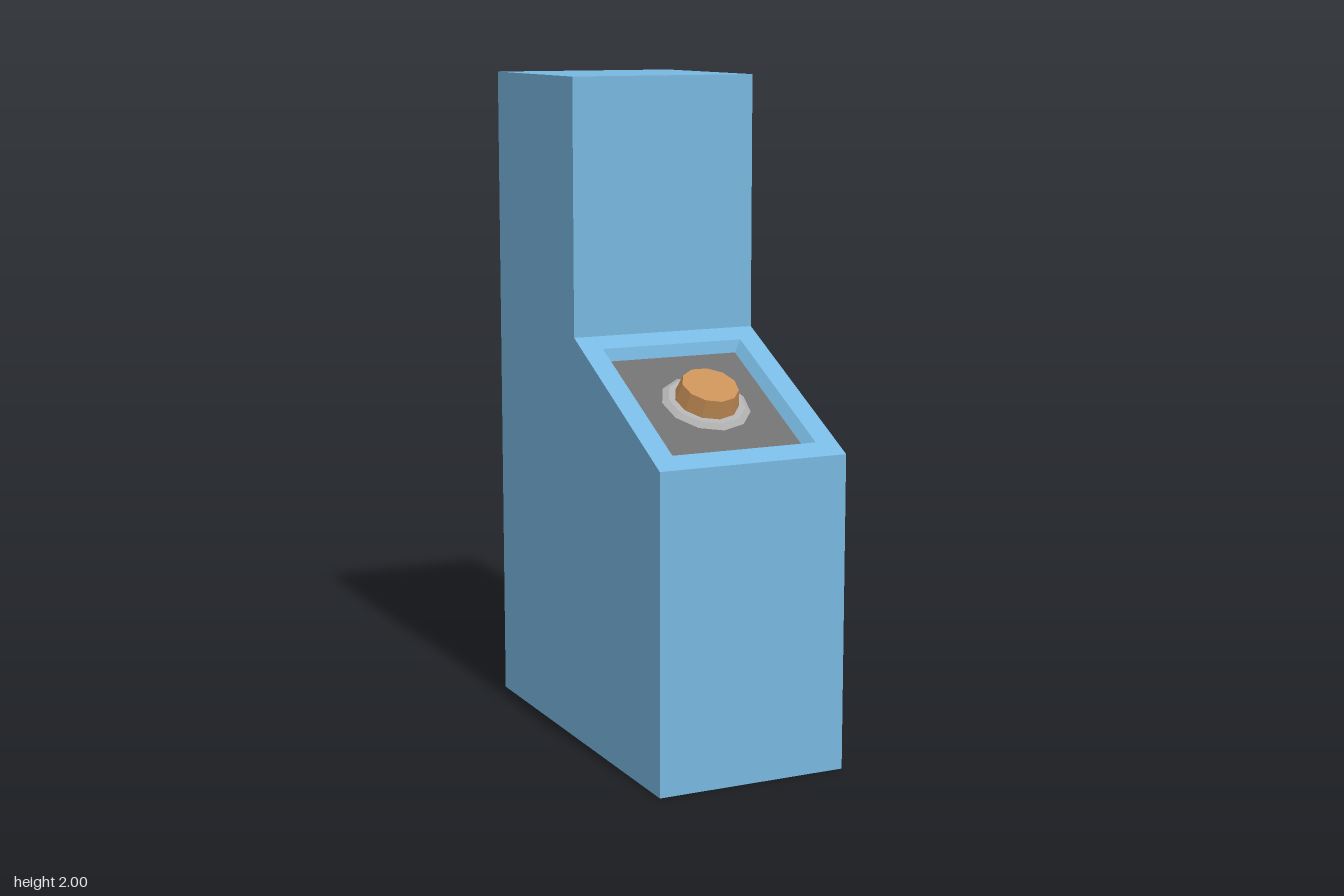
import * as THREE from 'three';

const W = 0.295; // half width of the cabinet
const paint = new THREE.MeshStandardMaterial({ color: 0x78b8e0, side: THREE.DoubleSide, flatShading: true });
const darkGrey = new THREE.MeshStandardMaterial({ color: 0x707070, side: THREE.DoubleSide, flatShading: true });
const lightGrey = new THREE.MeshStandardMaterial({ color: 0xb0b0b0, flatShading: true });
const orange = new THREE.MeshStandardMaterial({ color: 0xc89058, flatShading: true });

function add(parent, name, geometry, material) {
  const mesh = new THREE.Mesh(geometry, material);
  mesh.name = name;
  parent.add(mesh);
  return mesh;
}

// Flat four-cornered sheet, corners counter-clockwise from its front
function quad(a, b, c, d) {
  const g = new THREE.BufferGeometry();
  g.setAttribute('position', new THREE.Float32BufferAttribute([a, b, c, a, c, d].flat(), 3));
  g.computeVertexNormals();
  return g;
}

const rect = (x, z) => [[-x, -z], [-x, z], [x, z], [x, -z]];
const toPoints = (list) => list.map(([x, y]) => new THREE.Vector2(x, y));

export function createModel() {
  const model = new THREE.Group();
  model.name = 'cabinet';

  // Side outline as [z, y], from the bottom front up and over to the bottom back
  const outline = [[0.59, 0], [0.59, 0.94], [0, 1.235], [0, 2], [-0.59, 2], [-0.59, 0]];

  // Side walls
  for (const [name, side] of [['leftWall', 1], ['rightWall', -1]]) {
    const g = new THREE.ShapeGeometry(new THREE.Shape(toPoints(outline)));
    g.rotateY(-Math.PI / 2).translate(side * W, 0, 0);
    add(model, name, g, paint);
  }

  // Walls across the width; the slope is built below and the bottom is open
  const names = ['lowerFront', null, 'upperFront', 'top', 'back'];
  names.forEach((name, i) => {
    if (!name) return;
    const [z0, y0] = outline[i], [z1, y1] = outline[i + 1];
    add(model, name, quad([-W, y0, z0], [W, y0, z0], [W, y1, z1], [-W, y1, z1]), paint);
  });

  // Sloping control panel: local y points out of it, local z runs down it
  const panel = new THREE.Group();
  panel.name = 'controlPanel';
  panel.position.set(0, 1.0875, 0.295);
  panel.rotation.x = Math.atan(0.5);
  model.add(panel);

  const depth = 0.03;
  const outer = rect(0.228, 0.264), inner = rect(0.206, 0.24);
  const frame = new THREE.Shape(toPoints(rect(W, Math.hypot(0.295, 0.1475))));
  frame.holes.push(new THREE.Path(toPoints(outer)));
  add(panel, 'panelFrame', new THREE.ShapeGeometry(frame).rotateX(-Math.PI / 2), paint);

  // Bevelled walls and floor of the recess
  for (let i = 0; i < 4; i++) {
    const j = (i + 1) % 4;
    const at = ([x, z], y) => [x, y, z];
    add(panel, 'recessWall', quad(at(outer[i], 0), at(inner[i], -depth), at(inner[j], -depth), at(outer[j], 0)), paint);
  }
  add(panel, 'recessFloor', new THREE.PlaneGeometry(0.412, 0.48).rotateX(-Math.PI / 2).translate(0, -depth, 0), darkGrey);

  // Button with its collar
  const collar = add(panel, 'buttonCollar', new THREE.CylinderGeometry(0.116, 0.134, 0.012, 11), lightGrey);
  collar.position.y = -depth + 0.006;
  const button = add(panel, 'button', new THREE.CylinderGeometry(0.085, 0.099, 0.066, 11), orange);
  button.position.y = -depth + 0.033;

  return model;
}
